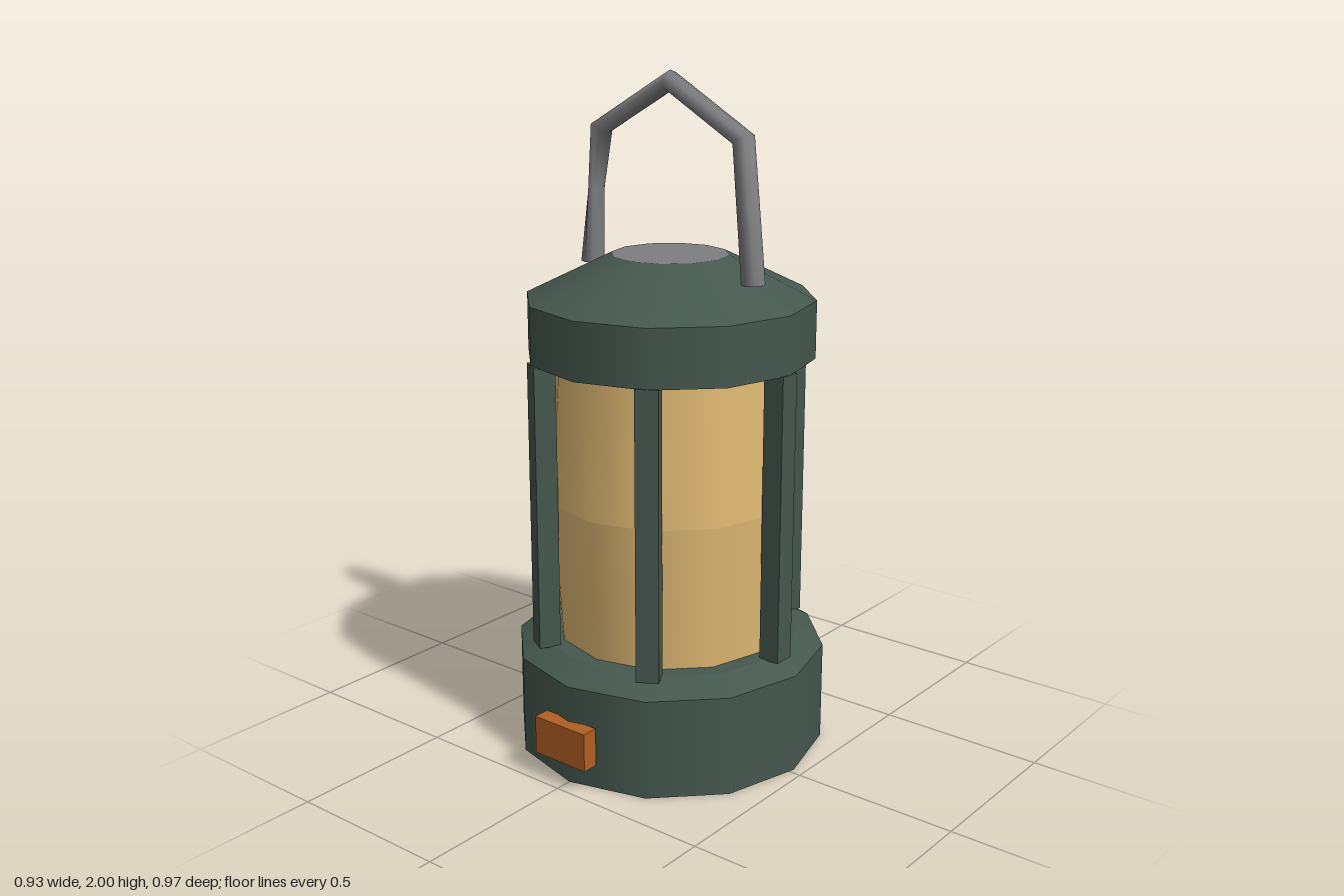
import * as THREE from 'three';

const SIDES = 12;
const CENTER_Z = -0.0175;

function material(name, color) {
  const m = new THREE.MeshStandardMaterial({ color });
  m.name = name;
  return m;
}

// Tapered 12-sided section spanning two heights; start/length cut out an arc
function ringSection(name, rBottom, rTop, y0, y1, mat, open = false, start = 0, length = Math.PI * 2) {
  const sides = Math.round(SIDES * length / (Math.PI * 2));
  const geo = new THREE.CylinderGeometry(rTop, rBottom, y1 - y0, sides, 1, open, start, length);
  geo.translate(0, (y0 + y1) / 2, 0);
  const mesh = new THREE.Mesh(geo, mat);
  mesh.name = name;
  return mesh;
}

// Handle tube from rings of [x, y, half width, angle of the outward side in degrees]
function handleGeometry(rings, depth, sides) {
  const pos = [], index = [];
  rings.forEach(([x, y, half, deg], i) => {
    const a = THREE.MathUtils.degToRad(deg);
    for (let j = 0; j < sides; j++) {
      const t = (j / sides) * Math.PI * 2;
      const n = Math.cos(t) * half;
      pos.push(x + Math.cos(a) * n, y + Math.sin(a) * n, Math.sin(t) * depth);
      if (i === rings.length - 1) continue;
      const k = (j + 1) % sides, p = i * sides, q = p + sides;
      index.push(p + j, p + k, q + j, p + k, q + k, q + j);
    }
  });
  const geo = new THREE.BufferGeometry();
  geo.setAttribute('position', new THREE.Float32BufferAttribute(pos, 3));
  geo.setIndex(index);
  geo.computeVertexNormals();
  return geo;
}

export function createModel() {
  const green = material('darkGreenPaint', 0x45584f);
  const grey = material('greyMetal', 0x7e7d80);
  const amber = material('amberGlass', 0xe0ba74);
  const cream = material('creamPanel', 0xdfd3ae);
  const orange = material('orangeSwitch', 0xb25e24);
  grey.side = THREE.DoubleSide;

  const model = new THREE.Group();
  model.name = 'lantern';
  const body = new THREE.Group();
  body.name = 'body';
  body.position.z = CENTER_Z;
  model.add(body);

  // Base with a bevelled shoulder
  body.add(ringSection('base', 0.467, 0.467, 0, 0.3, green));
  body.add(ringSection('baseShoulder', 0.467, 0.39, 0.3, 0.34, green));

  // Cap: rim with a grey underside, sloping roof and grey top plate
  body.add(ringSection('capRim', 0.423, 0.423, 1.19, 1.36, [green, grey, grey]));
  body.add(ringSection('capRoof', 0.423, 0.17, 1.36, 1.485, [green, grey, grey]));

  // Glass bulging at the middle; cream panels cover its back half
  const glass = new THREE.Group();
  glass.name = 'glass';
  const midY = 0.77;
  const radius = (y) => 0.365 - 0.026 * Math.abs(y - midY) / 0.43;
  const heights = [0.33, 0.39, 0.70, midY, 0.83, 1.12, 1.2];
  for (let i = 0; i < heights.length - 1; i++) {
    const y0 = heights[i], y1 = heights[i + 1];
    const isPanel = i === 1 || i === 4;
    glass.add(ringSection('frontGlass', radius(y0), radius(y1), y0, y1, amber, true, -Math.PI / 2, Math.PI));
    glass.add(ringSection(isPanel ? 'backPanel' : 'backGlass', radius(y0), radius(y1), y0, y1,
      isPanel ? cream : amber, true, Math.PI / 2, Math.PI));
  }
  body.add(glass);

  // Six posts around the glass
  const postGeo = new THREE.BoxGeometry(0.064, 0.855, 0.066);
  for (let i = 0; i < 6; i++) {
    const a = (i / 6) * Math.PI * 2;
    const post = new THREE.Mesh(postGeo, green);
    post.name = 'post';
    post.position.set(Math.cos(a) * 0.392, 0.765, Math.sin(a) * 0.392);
    post.rotation.y = -a;
    body.add(post);
  }

  // Carrying handle, its right leg pinched in the middle
  const handle = new THREE.Mesh(handleGeometry([
    [-0.295, 1.43, 0.032, 180],
    [-0.277, 1.65, 0.012, 178],
    [-0.255, 1.825, 0.03, 150],
    [0, 1.97, 0.03, 90],
    [0.255, 1.825, 0.03, 30],
    [0.294, 1.43, 0.032, 0],
  ], 0.037, 8), grey);
  handle.name = 'handle';
  body.add(handle);

  // Switch on the front of the base
  const knob = new THREE.Mesh(new THREE.BoxGeometry(0.187, 0.115, 0.05), orange);
  knob.name = 'switch';
  knob.position.set(-0.002, 0.135, 0.46);
  model.add(knob);

  return model;
}
